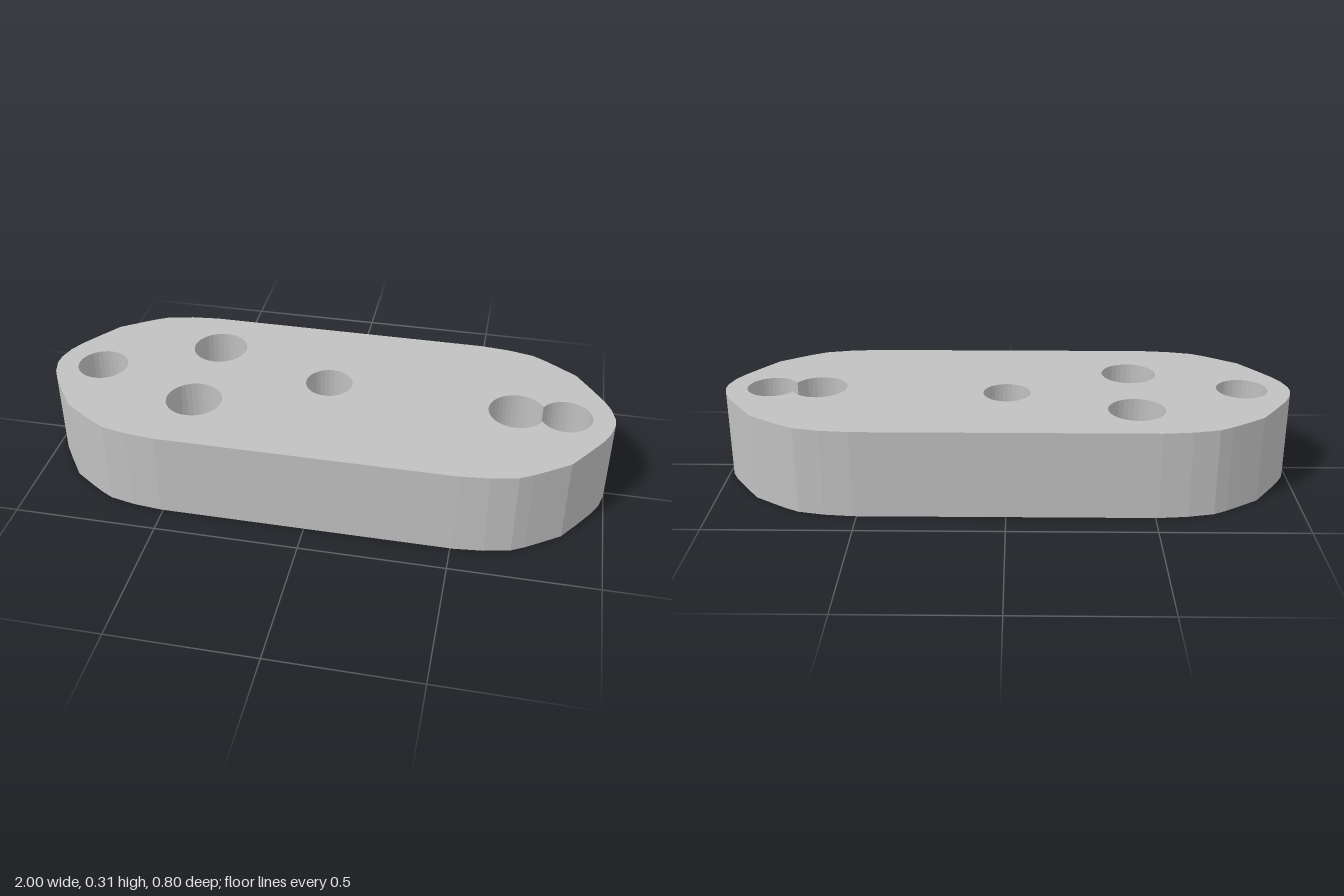
import * as THREE from 'three';

const HEIGHT = 0.307, LEDGE = 0.15;
const BORE = 0.098, SCREW = 0.063;

// Arc as 2D points (y of the plan is -z)
function arc(x, y, r, from = 0, to = Math.PI * 2, n = 32) {
  const full = to - from > 6.28;
  return Array.from({ length: full ? n : n + 1 }, (_, i) => {
    const a = from + (to - from) * i / n;
    return new THREE.Vector2(x + r * Math.cos(a), y + r * Math.sin(a));
  });
}

// Vertical wall around a closed loop; counter-clockwise faces outwards, inward flips it
function wall(loop, y0, y1, inward) {
  const pos = [];
  loop.forEach((p, i) => {
    let a = p, b = loop[(i + 1) % loop.length];
    if (inward) [a, b] = [b, a];
    pos.push(a.x, y0, -a.y, b.x, y0, -b.y, b.x, y1, -b.y);
    pos.push(a.x, y0, -a.y, b.x, y1, -b.y, a.x, y1, -a.y);
  });
  const g = new THREE.BufferGeometry();
  g.setAttribute('position', new THREE.Float32BufferAttribute(pos, 3));
  g.computeVertexNormals();
  return g;
}

// Flat horizontal face with holes, facing up or down
function face(loop, holes, y, down) {
  const shape = new THREE.Shape(loop);
  shape.holes = holes.map(h => new THREE.Path(h));
  const g = new THREE.ShapeGeometry(shape).rotateX(-Math.PI / 2).translate(0, y, 0);
  if (down) {
    g.setIndex(Array.from(g.index.array).reverse());
    g.computeVertexNormals();
  }
  return g;
}

export function createModel() {
  const group = new THREE.Group();
  const grey = new THREE.MeshStandardMaterial({ color: 0xc0c0c0 });
  grey.name = 'plain grey';
  const add = (name, geometry) => {
    const m = new THREE.Mesh(geometry, grey);
    m.name = name;
    group.add(m);
  };

  // Plate outline: one quarter mirrored to all four corners
  const quarter = [[1, 0.02], [0.985, 0.075], [0.962, 0.12], [0.915, 0.19], [0.862, 0.265],
    [0.79, 0.315], [0.745, 0.345], [0.7, 0.37], [0.61, 0.39], [0.51, 0.4]];
  const corner = (sx, sy) => quarter.map(([x, y]) => new THREE.Vector2(x * sx, y * sy));
  const outline = [...corner(1, 1), ...corner(-1, 1).reverse(),
    ...corner(-1, -1), ...corner(1, -1).reverse()];

  // Plain through holes
  const endHole = arc(-0.832, 0, 0.09), centreHole = arc(0, 0.045, 0.083);
  // Counterbored screw holes
  const screws = [[-0.443, 0.197], [-0.443, -0.15], [0.668, 0]];
  const shafts = screws.map(([x, y]) => arc(x, y, SCREW));
  const bores = screws.slice(0, 2).map(([x, y]) => arc(x, y, BORE));

  // Right end hole breaks into its neighbouring counterbore
  const bx = 0.668, hx = 0.835, hr = 0.09, d = hx - bx;
  const a = (d * d + BORE * BORE - hr * hr) / (2 * d);
  const h = Math.sqrt(BORE * BORE - a * a);
  const tb = Math.atan2(h, a), th = Math.atan2(h, a - d);
  const boreArc = arc(bx, 0, BORE, tb, Math.PI * 2 - tb);
  const joined = [...boreArc, ...arc(hx, 0, hr, -th, th).slice(1, -1)];
  const crescent = [...boreArc, ...arc(hx, 0, hr, th, Math.PI * 2 - th, 10).reverse().slice(1, -1)];
  const rightHole = arc(hx, 0, hr);

  add('plateSide', wall(outline, 0, HEIGHT, false));
  add('plateTop', face(outline, [endHole, centreHole, ...bores, joined], HEIGHT, false));
  add('plateBottom', face(outline, [endHole, centreHole, ...shafts, rightHole], 0, true));

  add('endHoleWall', wall(endHole, 0, HEIGHT, true));
  add('centreHoleWall', wall(centreHole, 0, HEIGHT, true));
  add('rightHoleLowerWall', wall(rightHole, 0, LEDGE, true));
  add('joinedUpperWall', wall(joined, LEDGE, HEIGHT, true));
  bores.forEach(b => add('counterboreWall', wall(b, LEDGE, HEIGHT, true)));
  shafts.forEach((s, i) => {
    add('screwHoleWall', wall(s, 0, LEDGE, true));
    add('counterboreLedge', face(bores[i] || crescent, [s], LEDGE, false));
  });
  return group;
}
